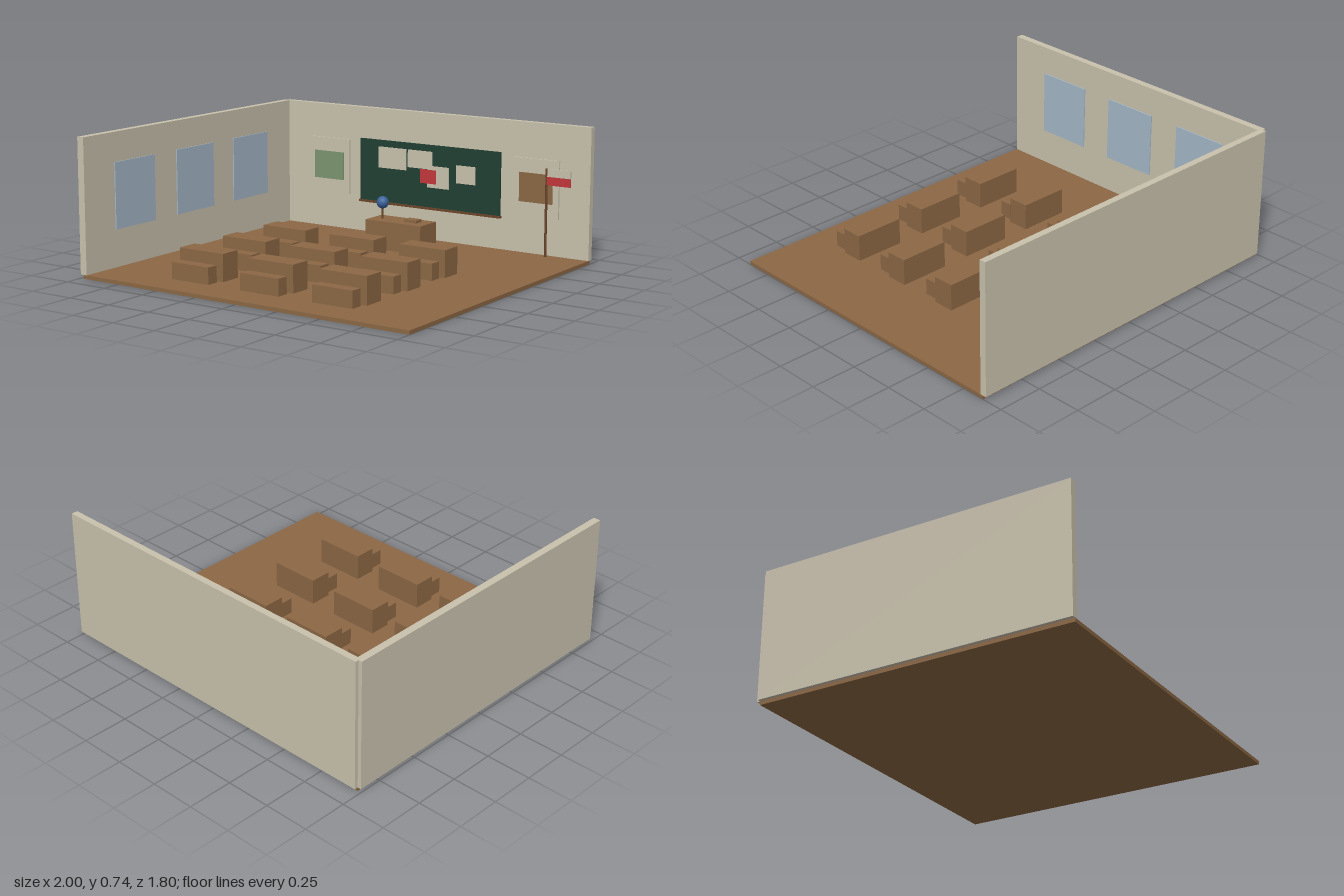
import * as THREE from 'three';

const mat = (name, hex) => {
  const m = new THREE.MeshStandardMaterial({ color: hex });
  m.name = name;
  return m;
};

export function createModel() {
  const wall = mat('cream', 0xc9c1ad);
  const wood = mat('wood', 0x8b6744);
  const darkWood = mat('dark wood', 0x6b4529);
  const slate = mat('board green', 0x204034);
  const glass = mat('window blue', 0xa5b8c8);
  const red = mat('red', 0xc4373b);
  const green = mat('poster green', 0x7a956f);
  const blue = mat('globe blue', 0x3a629c);

  const room = new THREE.Group();
  room.name = 'classroom';

  // Box given by its extents along each axis
  const box = (name, material, [x0, x1], [y0, y1], [z0, z1], parent = room) => {
    const mesh = new THREE.Mesh(new THREE.BoxGeometry(x1 - x0, y1 - y0, z1 - z0), material);
    mesh.position.set((x0 + x1) / 2, (y0 + y1) / 2, (z0 + z1) / 2);
    mesh.name = name;
    parent.add(mesh);
    return mesh;
  };

  // Floor and two walls
  box('floor', wood, [-0.98, 1], [0, 0.02], [-0.88, 0.9]);
  box('backWall', wall, [-0.98, 1], [0.02, 0.735], [-0.9, -0.864]);
  box('sideWall', wall, [-1, -0.96], [0.02, 0.735], [-0.88, 0.9]);

  // Windows on the side wall
  for (const z of [0.512, 0.013, -0.483]) {
    box('window', glass, [-0.962, -0.954], [0.222, 0.577], [z - 0.158, z + 0.158]);
  }

  // Chalkboard, tray and pinned sheets
  box('chalkboard', slate, [-0.452, 0.462], [0.205, 0.557], [-0.866, -0.854]);
  box('chalkTray', darkWood, [-0.457, 0.468], [0.193, 0.205], [-0.866, -0.845]);
  const sheets = [
    [-0.325, -0.14, 0.4, 0.52], [-0.13, 0.03, 0.42, 0.52],
    [0, 0.138, 0.318, 0.44], [0.185, 0.308, 0.36, 0.46],
  ];
  for (const [x0, x1, y0, y1] of sheets) {
    box('paperSheet', wall, [x0, x1], [y0, y1], [-0.856, -0.849]);
  }
  box('redSheet', red, [-0.045, 0.058], [0.34, 0.418], [-0.854, -0.846]);

  // Posters either side of the board
  for (const [x, picture] of [[-0.667, green], [0.682, wood]]) {
    box('poster', wall, [x - 0.138, x + 0.138], [0.224, 0.541], [-0.866, -0.854]);
    box('posterPicture', picture, [x - 0.101, x + 0.101], [0.302, 0.462], [-0.856, -0.85]);
  }

  // Flag on a pole
  const flag = new THREE.Group();
  flag.name = 'flag';
  room.add(flag);
  const pole = new THREE.Mesh(new THREE.CylinderGeometry(0.007, 0.007, 0.48, 8), darkWood);
  pole.name = 'flagPole';
  pole.position.set(0.761, 0.26, -0.826);
  flag.add(pole);
  box('flagUpperStripe', wall, [0.765, 0.905], [0.457, 0.5], [-0.83, -0.822], flag);
  box('flagLowerStripe', red, [0.765, 0.905], [0.411, 0.457], [-0.83, -0.822], flag);

  // Teacher's desk with book and globe
  box('teacherDesk', wood, [-0.172, 0.183], [0.02, 0.176], [-0.648, -0.488]);
  box('book', wood, [0.045, 0.122], [0.176, 0.192], [-0.598, -0.543]);
  const globe = new THREE.Group();
  globe.name = 'globe';
  globe.position.set(-0.112, 0, -0.568);
  room.add(globe);
  const stand = new THREE.Mesh(new THREE.CylinderGeometry(0.006, 0.006, 0.07, 8), darkWood);
  stand.name = 'globeStand';
  stand.position.y = 0.206;
  const ball = new THREE.Mesh(new THREE.SphereGeometry(0.034, 14, 10), blue);
  ball.name = 'globeBall';
  ball.position.y = 0.265;
  globe.add(stand, ball);

  // Three rows of three pupil desks and benches
  for (const z of [-0.15, 0.206, 0.562]) {
    for (const x of [-0.43, 0.007, 0.443]) {
      box('pupilDesk', wood, [x - 0.14, x + 0.14], [0.02, 0.165], [z - 0.06, z + 0.06]);
      box('pupilBench', wood, [x - 0.118, x + 0.118], [0.02, 0.109], [z + 0.084, z + 0.152]);
    }
  }

  return room;
}
